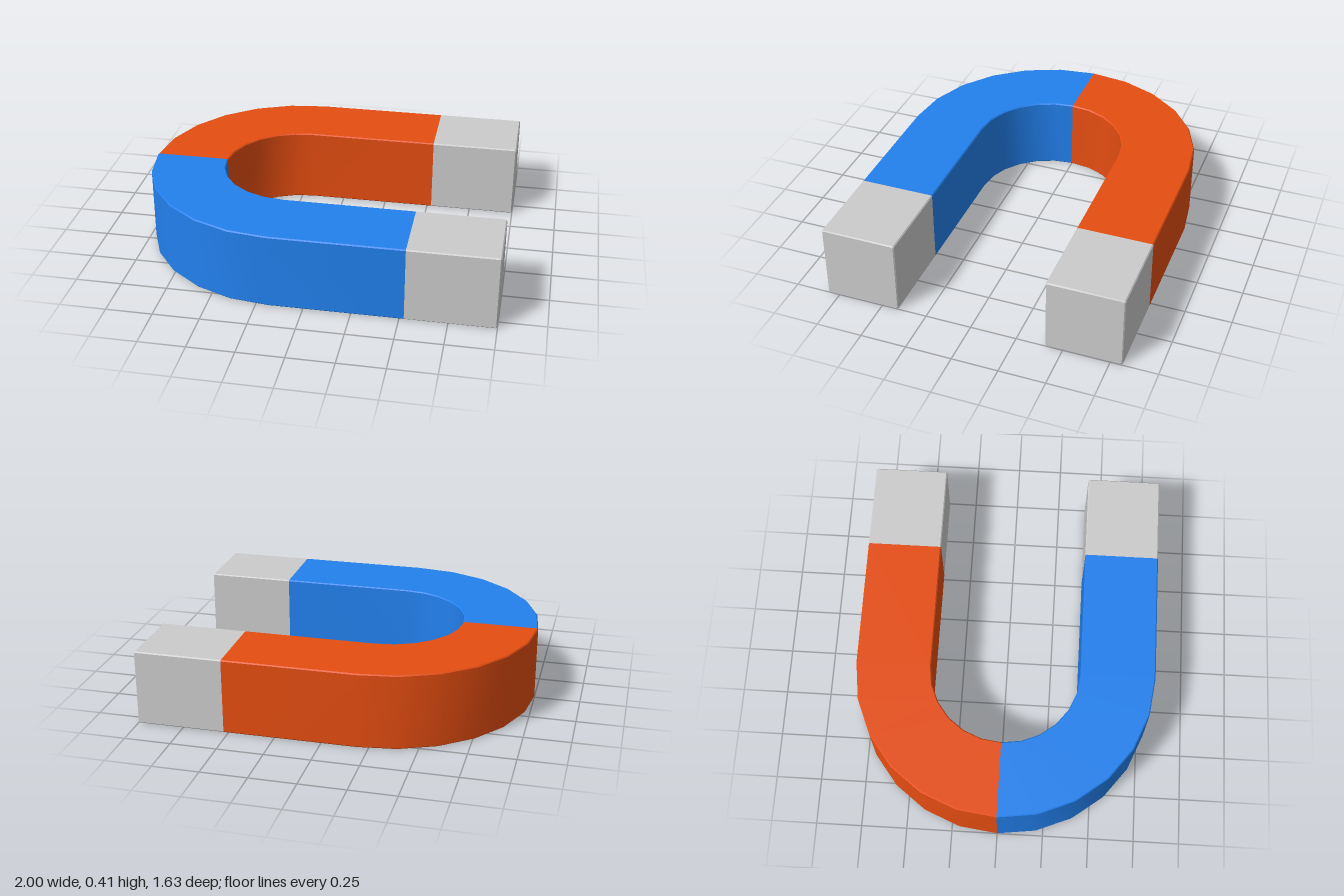
import * as THREE from 'three';
import { toCreasedNormals } from 'three/addons/utils/BufferGeometryUtils.js';

const INNER = 0.407, OUTER = 0.815, HEIGHT = 0.41;
const BEND_X = -0.185, SEAM_X = 0.525, END_X = 1, BEVEL = 0.006;

// Square cross-section (radius, height) with tiny chamfers, optionally inset
function section(inset = 0) {
  const a = INNER + inset, b = OUTER - inset, lo = inset, hi = HEIGHT - inset, c = BEVEL;
  return [[a + c, lo], [b - c, lo], [b, lo + c], [b, hi - c],
    [b - c, hi], [a + c, hi], [a, hi - c], [a, lo + c]];
}

// Section placed around the bend (angle from the middle of the U)
const bendRing = (angle, side) => section().map(([r, y]) =>
  new THREE.Vector3(BEND_X - r * Math.cos(angle), y, side * r * Math.sin(angle)));

// Section placed across a straight leg
const legRing = (x, side, inset = 0) => section(inset).map(([r, y]) =>
  new THREE.Vector3(x, y, side * r));

// Skin a row of rings, with an optional cap on the last one
function loft(rings, side, capped) {
  const pos = [];
  const tri = (a, b, c) => {
    for (const p of side > 0 ? [a, b, c] : [a, c, b]) pos.push(p.x, p.y, p.z);
  };
  for (let k = 0; k < rings.length - 1; k++) {
    const A = rings[k], B = rings[k + 1];
    for (let i = 0; i < A.length; i++) {
      const j = (i + 1) % A.length;
      tri(A[i], B[i], A[j]);
      tri(A[j], B[i], B[j]);
    }
  }
  if (capped) {
    const E = rings[rings.length - 1];
    for (let i = 1; i < E.length - 1; i++) tri(E[0], E[i + 1], E[i]);
  }
  const geo = new THREE.BufferGeometry();
  geo.setAttribute('position', new THREE.Float32BufferAttribute(pos, 3));
  return toCreasedNormals(geo, Math.PI / 6);
}

export function createModel() {
  const group = new THREE.Group();
  group.name = 'horseshoeMagnet';
  const grey = new THREE.MeshStandardMaterial({ color: 0xcccccc });

  for (const [side, label, color] of [[1, 'blue', 0x2280ed], [-1, 'red', 0xe54d11]]) {
    // Coloured half: quarter bend in six steps, then the straight leg
    const rings = [];
    for (let i = 0; i <= 6; i++) rings.push(bendRing(i * Math.PI / 12, side));
    rings.push(legRing(SEAM_X, side));
    const pole = new THREE.Mesh(loft(rings, side, false),
      new THREE.MeshStandardMaterial({ color }));
    pole.name = label + 'Pole';

    // Bare metal tip with a chamfered end
    const tip = new THREE.Mesh(loft([
      legRing(SEAM_X, side), legRing(END_X - BEVEL, side), legRing(END_X, side, BEVEL),
    ], side, true), grey);
    tip.name = label + 'PoleTip';
    group.add(pole, tip);
  }
  return group;
}
